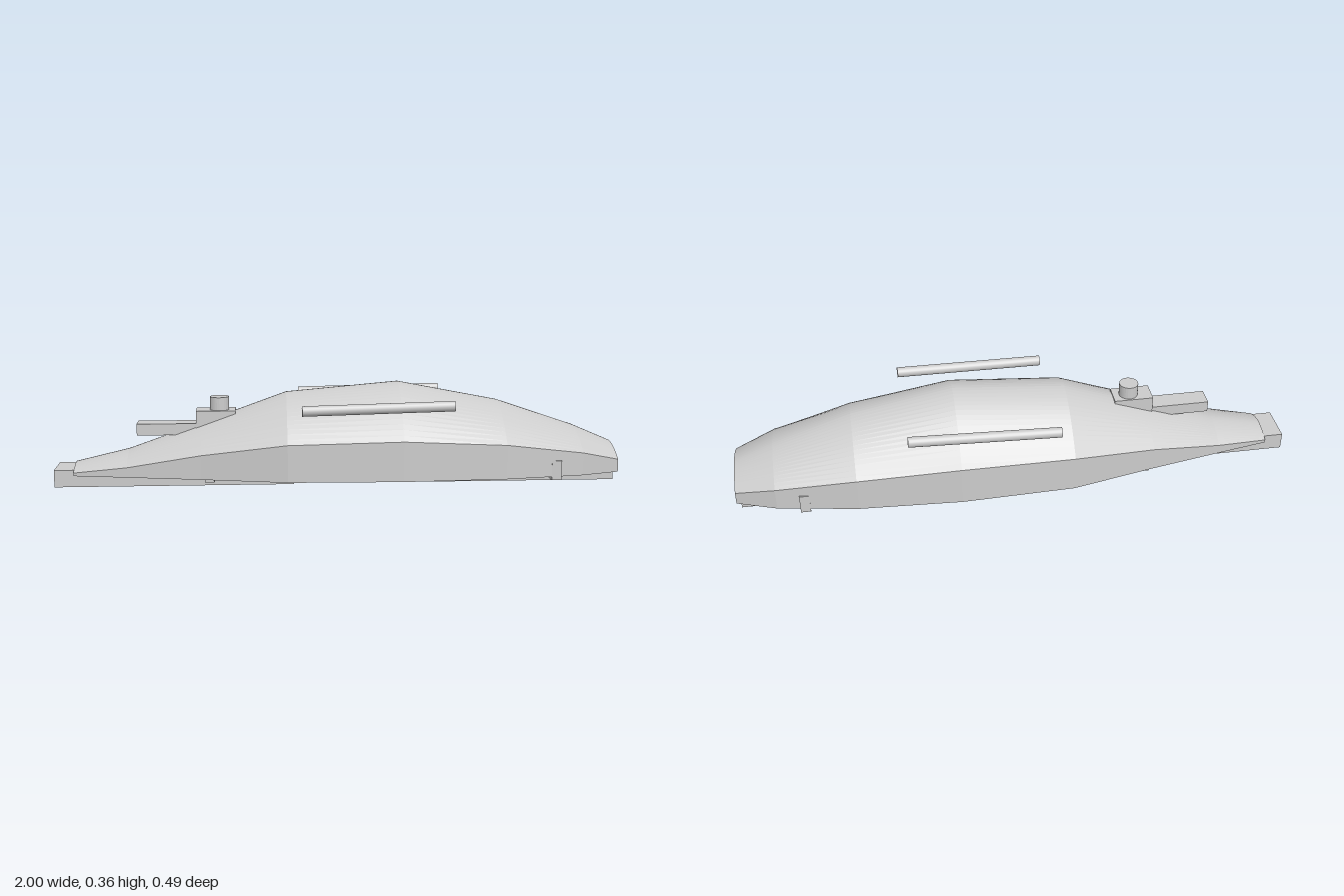
import * as THREE from 'three';

const material = new THREE.MeshStandardMaterial({ color: 0xcccccc, flatShading: true });
const openMaterial = new THREE.MeshStandardMaterial({ color: 0xcccccc, side: THREE.DoubleSide });

const HULL_BOTTOM = 0.045;
// Hull stations: x, half width, side edge height, ridge height
const STATIONS = [
  [-0.93, 0.085, 0.056, 0.08],
  [-0.74, 0.12, 0.08, 0.125],
  [-0.48, 0.17, 0.13, 0.217],
  [-0.18, 0.235, 0.175, 0.325],
  [0.22, 0.247, 0.185, 0.36],
  [0.58, 0.227, 0.165, 0.29],
  [0.86, 0.18, 0.125, 0.195],
  [1.0, 0.13, 0.09, 0.135],
];

// Flat bottom, upright sides and an arched deck
function hullSection([x, w, edge, top], steps = 32) {
  const ring = [[x, HULL_BOTTOM, w]];
  for (let i = 0; i <= steps; i++) {
    const t = 1 - (2 * i) / steps;
    ring.push([x, top - (top - edge) * Math.abs(t) ** 1.8, w * t]);
  }
  ring.push([x, HULL_BOTTOM, -w]);
  return ring;
}

function hullGeometry() {
  const rings = STATIONS.map((s) => hullSection(s));
  const n = rings[0].length;
  const points = rings.flat();
  const index = [];
  for (let s = 0; s < rings.length - 1; s++) {
    for (let i = 0; i < n; i++) {
      const j = (i + 1) % n;
      const a = s * n + i, b = s * n + j, c = a + n, d = b + n;
      index.push(a, c, b, b, c, d);
    }
  }
  // End caps fan out from the middle of the bottom edge
  for (const s of [0, rings.length - 1]) {
    const centre = points.length;
    points.push([STATIONS[s][0], HULL_BOTTOM, 0]);
    for (let i = 0; i < n - 1; i++) {
      const a = s * n + i;
      if (s === 0) index.push(centre, a, a + 1);
      else index.push(centre, a + 1, a);
    }
  }
  const geometry = new THREE.BufferGeometry();
  geometry.setAttribute('position', new THREE.Float32BufferAttribute(points.flat(), 3));
  geometry.setIndex(index);
  const flat = geometry.toNonIndexed();
  flat.computeVertexNormals();
  return flat;
}

export function createModel() {
  const model = new THREE.Group();
  model.name = 'armouredHull';

  const add = (name, geometry, mat = material) => {
    const mesh = new THREE.Mesh(geometry, mat);
    mesh.name = name;
    model.add(mesh);
    return mesh;
  };
  const box = (name, x0, x1, y0, y1, z0, z1) =>
    add(name, new THREE.BoxGeometry(x1 - x0, y1 - y0, z1 - z0))
      .position.set((x0 + x1) / 2, (y0 + y1) / 2, (z0 + z1) / 2);

  add('hull', hullGeometry());

  // Keel runners and nose block
  box('frontKeel', -0.93, -0.155, 0.002, 0.046, -0.07, 0.07);
  box('noseBlock', -1, -0.925, 0.002, 0.063, -0.07, 0.07);
  box('rearKeel', 0.305, 0.985, 0.015, 0.046, -0.118, 0.118);

  // Cross straps under the hull
  for (const x of [-0.45, -0.04, 0.375]) {
    box('crossStrap', x - 0.017, x + 0.017, 0.034, 0.046, -0.165, 0.165);
  }
  box('rearStrap', 0.745, 0.78, 0.033, 0.046, -0.2, 0.2);

  // Gun mount on the foredeck
  box('gunMount', -0.5, -0.36, 0.17, 0.264, -0.04, 0.04);
  box('gunBarrel', -0.71, -0.49, 0.178, 0.219, -0.035, 0.035);
  add('hatch', new THREE.CylinderGeometry(0.034, 0.034, 0.055, 24))
    .position.set(-0.417, 0.283, 0);

  // Mirrored side fittings
  for (const side of [-1, 1]) {
    const inner = 0.19 * side, outer = 0.2 * side;
    box('strapUpright', 0.745, 0.78, 0.033, 0.102, Math.min(inner, outer), Math.max(inner, outer));

    // Open tubes floating beside the ridge
    const path = new THREE.LineCurve3(
      new THREE.Vector3(-0.13, 0.291, 0.225 * side),
      new THREE.Vector3(0.397, 0.302, 0.213 * side),
    );
    add('sideTube', new THREE.TubeGeometry(path, 1, 0.018, 20), openMaterial);
  }

  return model;
}
